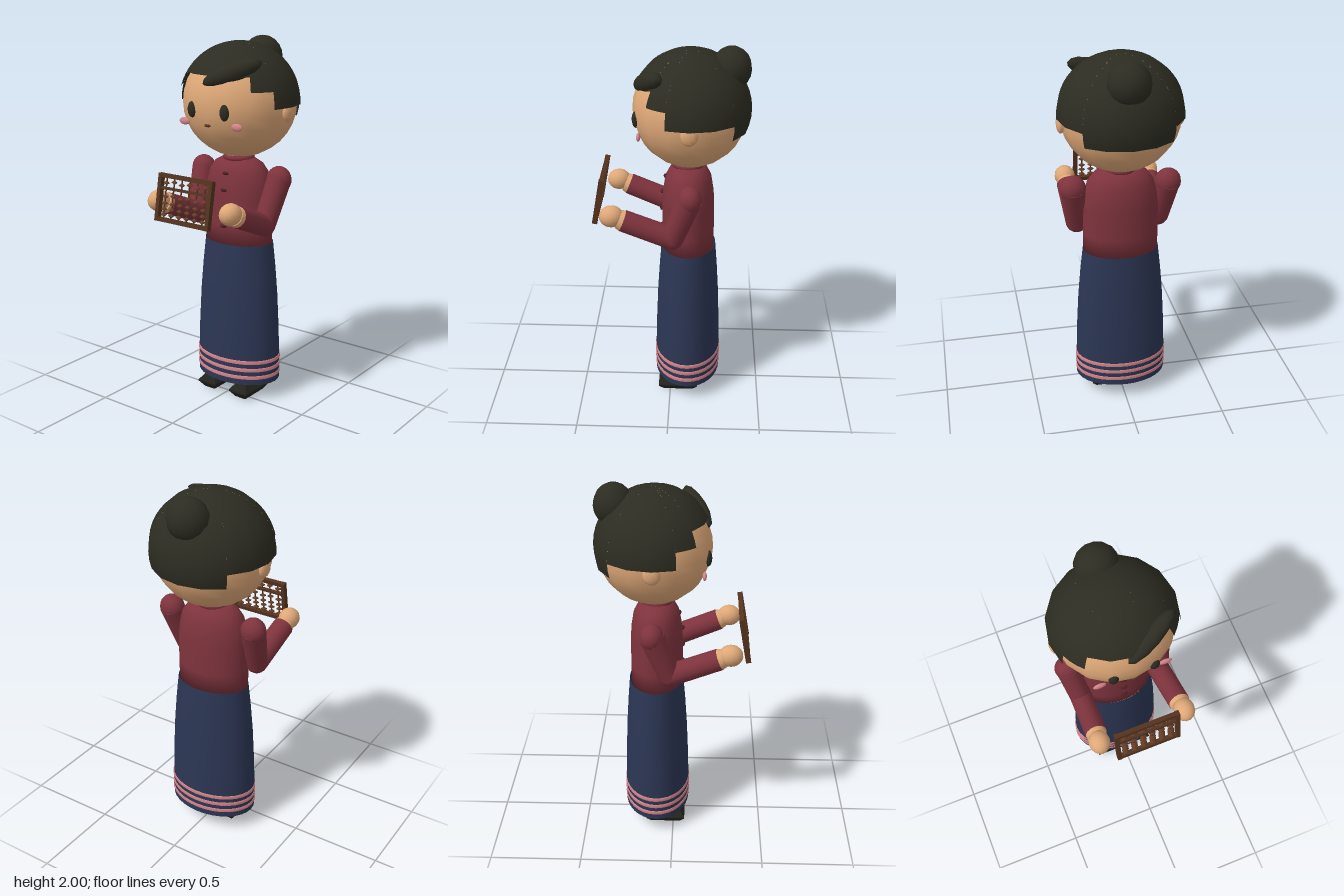
import * as THREE from 'three';

const mat = (name, color, side = THREE.FrontSide) => {
  const m = new THREE.MeshStandardMaterial({ color, side });
  m.name = name;
  return m;
};

export function createModel() {
  const skin = mat('skin', 0xdfa878);
  const hair = mat('hair', 0x2c2c22, THREE.DoubleSide);
  const blouse = mat('blouse red', 0x7e333d);
  const skirtBlue = mat('skirt blue', 0x2c3654, THREE.DoubleSide);
  const pink = mat('pink', 0xd5858a, THREE.DoubleSide);
  const shoeBlack = mat('shoe black', 0x23231e);
  const wood = mat('dark wood', 0x55331f);
  const beadBrown = mat('bead brown', 0x70442c);
  const buttonBrown = mat('button brown', 0x4a2022);

  const model = new THREE.Group();
  const add = (name, geo, material, x = 0, y = 0, z = 0, parent = model) => {
    const m = new THREE.Mesh(geo, material);
    m.name = name;
    m.position.set(x, y, z);
    parent.add(m);
    return m;
  };
  const ball = (name, material, [x, y, z], [rx, ry, rz], w = 16, h = 12) => {
    const m = add(name, new THREE.SphereGeometry(1, w, h), material, x, y, z);
    m.scale.set(rx, ry, rz);
    return m;
  };
  const lathe = (name, pts, material, depth, z, n = 32) => {
    const geo = new THREE.LatheGeometry(pts.map(p => new THREE.Vector2(...p)), n);
    const m = add(name, geo, material, 0, 0, z);
    m.scale.z = depth;
    return m;
  };
  // tapered cylinder between two points
  const limb = (name, material, a, b, ra, rb) => {
    const A = new THREE.Vector3(...a), B = new THREE.Vector3(...b);
    const d = B.clone().sub(A);
    const m = add(name, new THREE.CylinderGeometry(rb, ra, d.length(), 16), material);
    m.position.copy(A).add(B).multiplyScalar(0.5);
    m.quaternion.setFromUnitVectors(new THREE.Vector3(0, 1, 0), d.normalize());
    return m;
  };

  // head
  const headY = 1.67, headZ = -0.1;
  ball('head', skin, [0, headY, headZ], [0.313, 0.303, 0.301], 16, 16);
  ball('mouth', wood, [0, 1.57, 0.183], [0.021, 0.008, 0.008], 10, 6);

  // hair cap: sectors [start, end, lower edge height], angles from the front
  const cap = new THREE.Group();
  cap.name = 'hairCap';
  cap.position.set(0, headY, headZ);
  cap.scale.set(0.331, 0.315, 0.316);
  model.add(cap);
  const sectors = [[-45, 45, 1.825], [45, 67.5, 1.75], [67.5, 135, 1.66],
    [135, 225, 1.58], [225, 292.5, 1.66], [292.5, 315, 1.75]];
  for (const [a, b, low] of sectors) {
    const geo = new THREE.SphereGeometry(1, Math.round((b - a) / 22.5), 12,
      THREE.MathUtils.degToRad(90 + a), THREE.MathUtils.degToRad(b - a),
      0, Math.acos((low - headY) / 0.315));
    add('hairSector', geo, hair, 0, 0, 0, cap);
  }
  ball('hairBun', hair, [0, 1.888, -0.305], [0.112, 0.112, 0.104], 14, 10);
  ball('fringeSwoop', hair, [0.107, 1.842, 0.115], [0.165, 0.05, 0.048], 12, 8)
    .quaternion.setFromUnitVectors(new THREE.Vector3(1, 0, 0),
      new THREE.Vector3(0.21, 0.09, -0.1).normalize());

  // torso and collar
  lathe('torso', [[0, 0.89], [0.203, 0.89], [0.204, 1.0], [0.203, 1.15], [0.195, 1.22],
    [0.178, 1.29], [0.145, 1.335], [0.1, 1.36], [0, 1.375]], blouse, 0.69, -0.092);
  add('neck', new THREE.CylinderGeometry(0.07, 0.07, 0.1, 16), skin, 0, 1.37, -0.09);
  const collar = add('collar', new THREE.TorusGeometry(0.073, 0.014, 8, 24), blouse, 0, 1.365, -0.09);
  collar.rotation.x = Math.PI / 2;
  for (const [y, z] of [[1.29, 0.03], [1.2, 0.047], [1.1, 0.05], [1.0, 0.05]])
    ball('button', buttonBrown, [0, y, z], [0.022, 0.009, 0.011], 8, 6);

  // skirt, open at the hem, with three stripes
  const profile = [[0.253, 0.1], [0.252, 0.25], [0.247, 0.4], [0.236, 0.6], [0.222, 0.76], [0.206, 0.9]];
  lathe('skirt', profile, skirtBlue, 0.715, -0.095);
  for (const y of [0.143, 0.188, 0.233])
    lathe('skirtStripe', [[0.253, y - 0.011], [0.257, y - 0.009], [0.257, y + 0.009], [0.252, y + 0.011]],
      pink, 0.715, -0.095);

  // shoe block with bevelled edges
  const sole = new THREE.Shape();
  sole.moveTo(-0.034, -0.083);
  sole.lineTo(0.034, -0.083);
  sole.lineTo(0.034, 0.083);
  sole.lineTo(-0.034, 0.083);
  const shoeGeo = new THREE.ExtrudeGeometry(sole, {
    depth: 0.008, bevelThickness: 0.036, bevelSize: 0.027, bevelSegments: 1 });
  shoeGeo.translate(0, 0, -0.004);
  shoeGeo.rotateX(-Math.PI / 2);

  for (const s of [-1, 1]) {
    // face
    ball('eye', hair, [s * 0.105, 1.645, 0.177], [0.027, 0.043, 0.02], 12, 10);
    ball('cheek', pink, [s * 0.172, 1.575, 0.16], [0.035, 0.02, 0.011], 12, 8);
    ball('ear', skin, [s * 0.31, 1.635, -0.1], [0.023, 0.052, 0.045], 12, 10);

    // arm, bent forward at the elbow
    const shoulder = [s * 0.255, 1.268, -0.105];
    const elbow = [s * 0.225, 1.03, -0.015];
    const wrist = [s * 0.235, 1.135, 0.245];
    ball('shoulder', blouse, shoulder, [0.07, 0.072, 0.062]);
    limb('upperArm', blouse, shoulder, elbow, 0.066, 0.06);
    ball('elbow', blouse, elbow, [0.06, 0.06, 0.06]);
    limb('forearm', blouse, elbow, wrist, 0.06, 0.058);
    limb('wrist', skin, wrist, [s * 0.236, 1.144, 0.267], 0.056, 0.05);
    ball('hand', skin, [s * 0.239, 1.16, 0.302], [0.057, 0.058, 0.065], 14, 10);

    // leg and shoe
    add('leg', new THREE.CylinderGeometry(0.06, 0.06, 0.4, 16), skin, s * 0.11, 0.26, -0.095);
    add('shoe', shoeGeo, shoeBlack, s * 0.11, 0.045, -0.045);
  }

  // abacus held in front, its lower edge tipped forward
  const abacus = new THREE.Group();
  abacus.name = 'abacus';
  abacus.position.set(0, 1.207, 0.377);
  abacus.rotation.x = -0.175;
  model.add(abacus);
  const bar = (name, w, h, d, x, y) =>
    add(name, new THREE.BoxGeometry(w, h, d), wood, x, y, 0, abacus);
  for (const s of [-1, 1]) {
    bar('frameSide', 0.022, 0.252, 0.028, s * 0.166, 0);
    bar('frameRail', 0.312, 0.022, 0.024, 0, s * 0.115);
  }
  bar('divider', 0.312, 0.013, 0.02, 0, 0.05);
  const rodGeo = new THREE.CylinderGeometry(0.004, 0.004, 0.22, 6);
  const beadGeo = new THREE.SphereGeometry(1, 8, 2);
  beadGeo.scale(0.019, 0.013, 0.014);
  for (let i = 0; i < 6; i++) {
    const x = (i - 2.5) * 0.051;
    add('rod', rodGeo, wood, x, 0, 0, abacus);
    const lift = i % 2 ? 0.008 : 0;
    for (const y of [-0.088, -0.058, -0.028, 0.006 + lift, 0.078 + lift])
      add('bead', beadGeo, beadBrown, x, y, 0, abacus);
  }
  return model;
}
